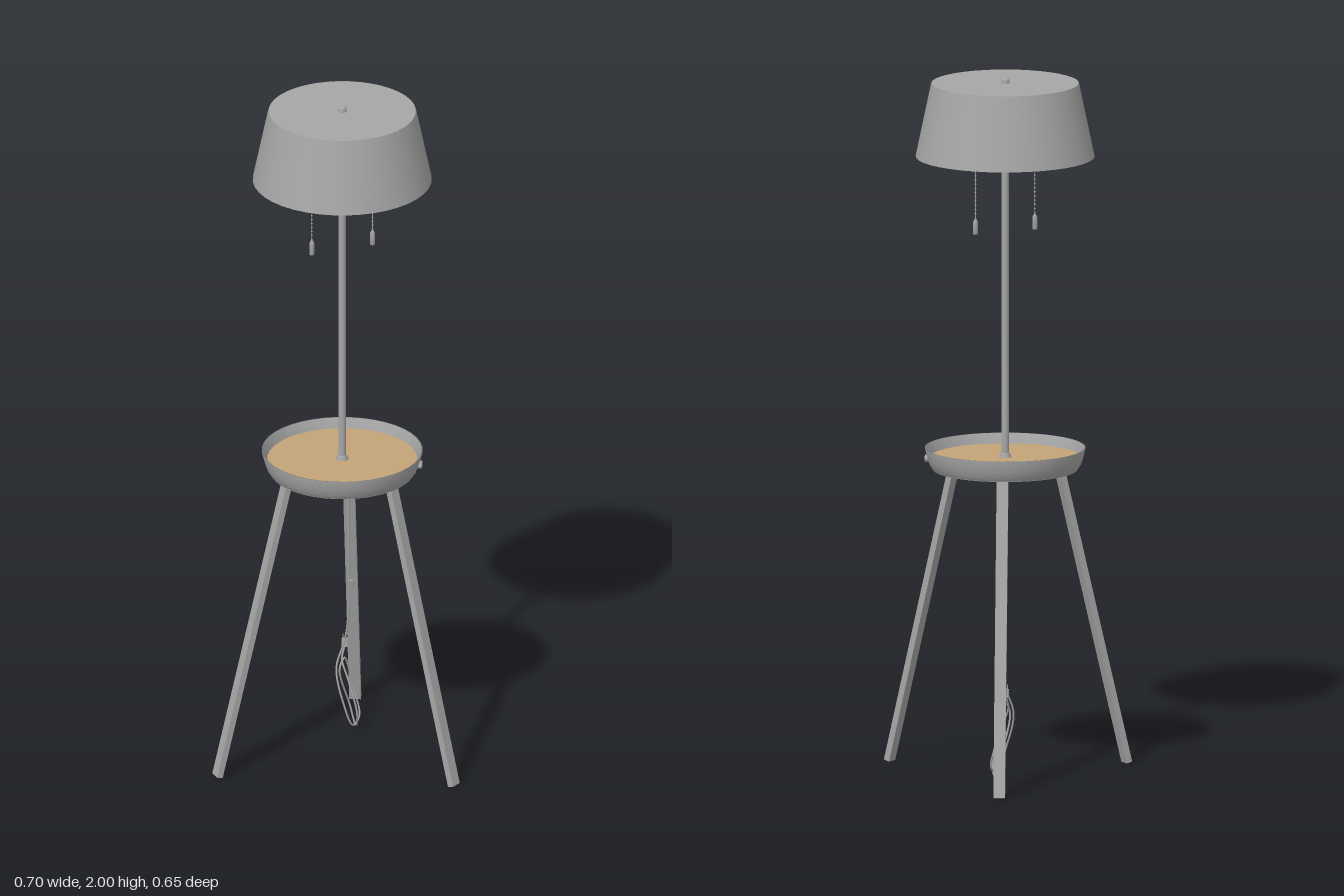
import * as THREE from 'three';

const AXIS_Z = 0.072; // the pole stands slightly forward of the centre

export function createModel() {
  const root = new THREE.Group();
  root.name = 'floorLamp';
  const lamp = new THREE.Group();
  lamp.name = 'lamp';
  lamp.position.z = AXIS_Z;
  root.add(lamp);

  const metal = new THREE.MeshStandardMaterial({ color: 0xa6a6a6, side: THREE.DoubleSide });
  metal.name = 'grey metal';
  const wood = new THREE.MeshStandardMaterial({ color: 0xc4a478 });
  wood.name = 'light wood';

  const add = (name, geometry, x = 0, y = 0, z = 0, material = metal) => {
    const mesh = new THREE.Mesh(geometry, material);
    mesh.name = name;
    mesh.position.set(x, y, z);
    lamp.add(mesh);
    return mesh;
  };
  const cyl = (rTop, rBottom, h, n = 16, open = false) => new THREE.CylinderGeometry(rTop, rBottom, h, n, 1, open);
  const lathe = (pts, n = 40) => new THREE.LatheGeometry(pts.map(p => new THREE.Vector2(...p)), n);
  const vec = p => new THREE.Vector3(...p);
  const rod = (name, a, b, r) => {
    const from = vec(a), to = vec(b);
    const mesh = add(name, cyl(r, r, from.distanceTo(to), 8));
    mesh.position.copy(from).lerp(to, 0.5);
    mesh.quaternion.setFromUnitVectors(new THREE.Vector3(0, 1, 0), to.sub(from).normalize());
    return mesh;
  };

  // Pole, collar and finial
  add('pole', cyl(0.0105, 0.0105, 1.105), 0, 1.4325, 0);
  add('poleCollar', cyl(0.014, 0.018, 0.014), 0, 0.917, 0);
  add('finial', lathe([[0.012, 0], [0.012, 0.01], [0.009, 0.015], [0, 0.016]], 16), 0, 1.984, 0);

  // Shade: thin open cone with a flat lid
  add('shade', cyl(0.209, 0.253, 0.21, 40, true), 0, 1.88, 0);
  add('shadeLid', cyl(0.208, 0.208, 0.004, 40), 0, 1.983, 0);

  // Tray: closed base, flared rim and wooden inlay
  add('trayBase', cyl(0.206, 0.205, 0.006, 40), 0, 0.88, 0);
  add('trayRim', lathe([[0.205, 0.878], [0.213, 0.889], [0.220, 0.908], [0.2275, 0.939], [0.2235, 0.939], [0.214, 0.905]]));
  add('trayInlay', cyl(0.212, 0.212, 0.008, 40), 0, 0.907, 0, wood);
  const dimmer = add('dimmerKnob', cyl(0.01, 0.01, 0.012), 0.221, 0.905, 0.005);
  dimmer.rotation.z = Math.PI / 2;
  dimmer.scale.z = 1.8;

  // Three splayed legs, one of them straight back
  const topR = 0.168, footR = 0.387, legTop = 0.882, legFoot = 0.003;
  const length = Math.hypot(footR - topR, legTop - legFoot);
  const tilt = Math.atan2(footR - topR, legTop - legFoot);
  for (let i = 0; i < 3; i++) {
    const pivot = new THREE.Group();
    pivot.name = ['backLeg', 'rightLeg', 'leftLeg'][i];
    pivot.rotation.y = Math.PI + i * Math.PI * 2 / 3 * -1 + 0;
    const leg = new THREE.Mesh(new THREE.BoxGeometry(0.033, length, 0.018), metal);
    leg.name = 'legBar';
    leg.position.set(0, (legTop + legFoot) / 2, (topR + footR) / 2);
    leg.rotation.x = -tilt;
    pivot.add(leg);
    lamp.add(pivot);
  }

  // Two sockets with bulbs on opposite arms, and a support ring
  add('socketHub', cyl(0.022, 0.022, 0.04), 0, 1.9, 0);
  const ring = add('supportRing', new THREE.TorusGeometry(0.05, 0.004, 8, 24), 0, 1.878, 0);
  ring.rotation.x = Math.PI / 2;
  for (const s of [-1, 1]) {
    rod('socket', [0, 1.9, 0], [0.03 * s, 1.9, 0.052 * s], 0.013);
    add('bulb', new THREE.SphereGeometry(0.026, 16, 12), 0.04 * s, 1.9, 0.069 * s);

    // Pull chain: arm, cord, beads and handle
    const x = 0.082 * s, z = -0.043 * s;
    rod('chainArm', [0, 1.89, 0], [x, 1.89, z], 0.005);
    add('pullChain', cyl(0.0012, 0.0012, 0.29, 6), x, 1.745, z);
    for (let y = 1.605; y < 1.88; y += 0.012) {
      add('chainBead', new THREE.SphereGeometry(0.0028, 6, 4), x, y, z);
    }
    add('pullHandle', lathe([[0, 0], [0.007, 0], [0.007, 0.035], [0.003, 0.043], [0, 0.043]], 12), x, 1.558, z);
  }

  // Power cord hanging beside the back leg and gathered into loops
  const path = [
    [0, 0.878, -0.1], [0.002, 0.76, -0.086], [0.003, 0.55, -0.083], [0.002, 0.36, -0.083],
    [-0.008, 0.28, -0.088], [-0.03, 0.2, -0.07], [-0.008, 0.1, -0.05], [0.018, 0.03, -0.06],
    [0.034, 0.05, -0.085], [0.015, 0.13, -0.098], [-0.008, 0.23, -0.078], [-0.02, 0.2, -0.062],
    [0.006, 0.08, -0.09], [0.024, 0.022, -0.078], [0.03, 0.07, -0.055], [0.005, 0.16, -0.07],
    [-0.016, 0.22, -0.09], [-0.01, 0.255, -0.102],
  ].map(([x, y, z]) => new THREE.Vector3(x, y, z - AXIS_Z));
  add('powerCord', new THREE.TubeGeometry(new THREE.CatmullRomCurve3(path), 160, 0.0028, 6));
  add('plug', new THREE.BoxGeometry(0.016, 0.024, 0.012), -0.01, 0.265, -0.105 - AXIS_Z);
  for (const s of [-1, 1]) {
    add('plugPin', cyl(0.0015, 0.0015, 0.014, 6), -0.01 + 0.004 * s, 0.284, -0.105 - AXIS_Z);
  }

  // Cord clips on the inside of the back leg
  for (const y of [0.77, 0.4]) {
    const r = topR + (footR - topR) * (legTop - y) / (legTop - legFoot);
    const clip = add('cordClip', new THREE.BoxGeometry(0.01, 0.03, 0.006), 0, y, -r + 0.012);
    clip.rotation.x = tilt;
  }

  return root;
}
